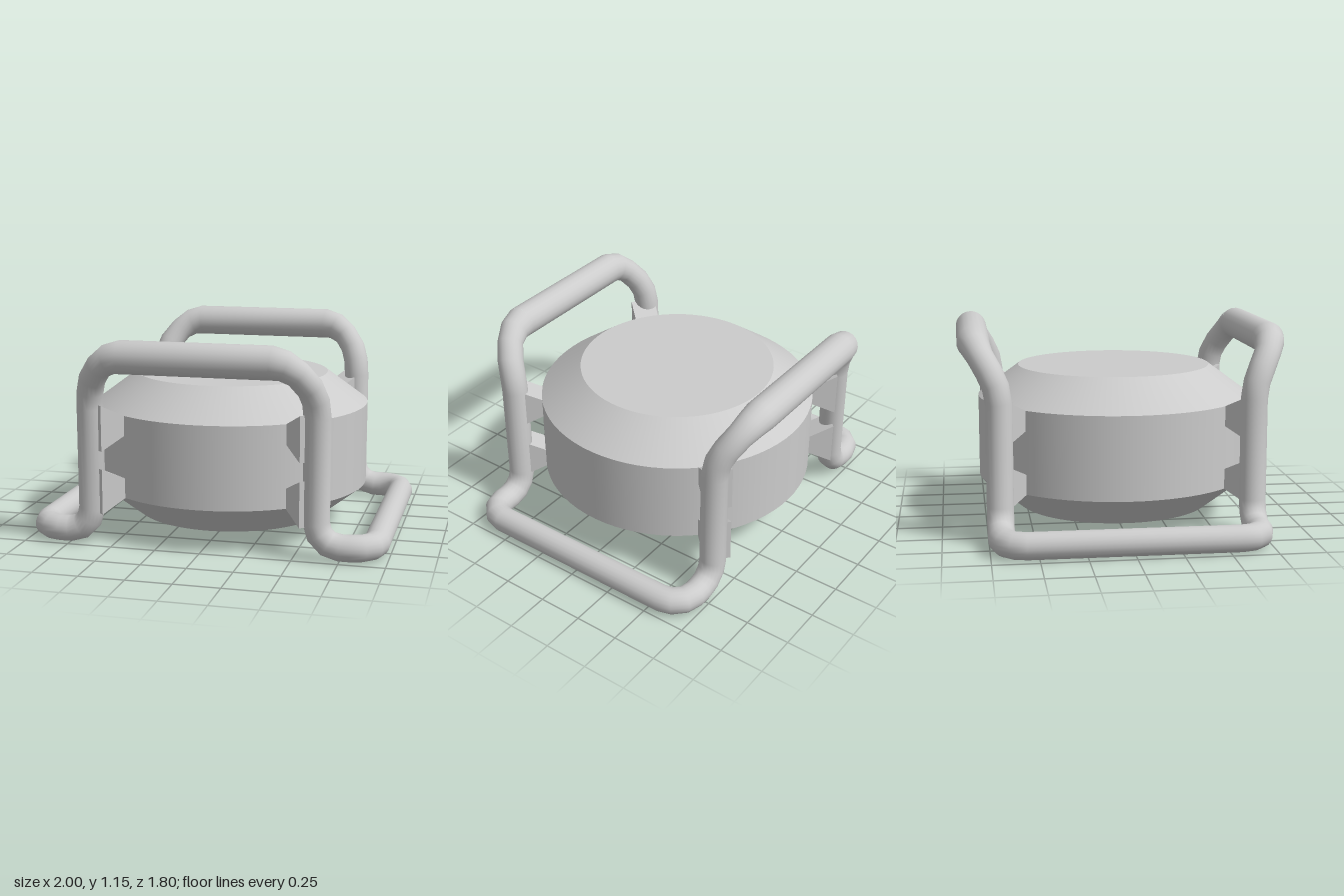
import * as THREE from 'three';

const material = new THREE.MeshStandardMaterial({ color: 0xcccccc });

function add(group, name, geometry) {
  const mesh = new THREE.Mesh(geometry, material);
  mesh.name = name;
  group.add(mesh);
  return mesh;
}

// Smooth round tube swept along points of [x, y, z, radius]; the path closes on its first point
function sweepClosed(path, sides) {
  const n = path.length;
  const at = (i) => new THREE.Vector3(...path[(i + n) % n].slice(0, 3));
  const positions = [], normals = [], index = [];
  const side = new THREE.Vector3(0, 1, 0);
  for (let i = 0; i <= n; i++) {
    const p = at(i);
    const before = p.clone().sub(at(i - 1)).normalize();
    const after = at(i + 1).sub(p).normalize();
    const tangent = before.add(after).normalize();
    side.addScaledVector(tangent, -side.dot(tangent)).normalize();
    const up = new THREE.Vector3().crossVectors(tangent, side);
    const radius = path[i % n][3];
    for (let j = 0; j <= sides; j++) {
      const a = (j / sides) * Math.PI * 2;
      const normal = side.clone().multiplyScalar(Math.cos(a)).addScaledVector(up, Math.sin(a));
      normals.push(...normal.toArray());
      positions.push(...p.clone().addScaledVector(normal, radius).toArray());
    }
  }
  const row = sides + 1;
  for (let i = 0; i < n; i++) {
    for (let j = 0; j < sides; j++) {
      const a = i * row + j, b = a + row;
      index.push(a, a + 1, b, b, a + 1, b + 1);
    }
  }
  const geometry = new THREE.BufferGeometry();
  geometry.setAttribute('position', new THREE.Float32BufferAttribute(positions, 3));
  geometry.setAttribute('normal', new THREE.Float32BufferAttribute(normals, 3));
  geometry.setIndex(index);
  return geometry;
}

export function createModel() {
  const model = new THREE.Group();
  model.name = 'drumInTubeFrame';

  // Drum: straight wall with a bevelled rim above and below
  const drum = new THREE.Group();
  drum.name = 'drum';
  model.add(drum);
  const layers = [
    ['drumBottom', 0.78, 0.55, 0.07, 0.25],
    ['drumWall', 0.78, 0.78, 0.25, 0.71],
    ['drumTop', 0.55, 0.78, 0.71, 0.88],
  ];
  for (const [name, rTop, rBottom, y0, y1] of layers) {
    const open = name === 'drumWall';
    add(drum, name, new THREE.CylinderGeometry(rTop, rBottom, y1 - y0, 72, 1, open))
      .position.y = (y0 + y1) / 2;
  }

  // Tube frame: one quarter from the grip's end to the foot rail, mirrored into a loop
  const r = 0.0725;
  const quarter = [
    [0.4, 1.06, 0.81, 0.09],
    [0.47, 1.045, 0.802, 0.082],
    [0.535, 1.0, 0.778, r],
    [0.59, 0.925, 0.735, r],
    [0.615, 0.85, 0.702, r],
    [0.623, 0.76, 0.687, r],
    [0.623, 0.2, 0.687, r],
    [0.641, 0.137, 0.687, r],
    [0.687, 0.09, 0.687, r],
    [0.75, r, 0.687, r],
    [0.8, r, 0.687, r],
    [0.864, r, 0.67, r],
    [0.911, r, 0.623, r],
    [0.9275, r, 0.56, r],
  ];
  const mirrored = (sx, sz) => quarter.map(([x, y, z, w]) => [x * sx, y, z * sz, w]);
  const loop = [
    ...mirrored(1, 1),
    ...mirrored(1, -1).reverse(),
    ...mirrored(-1, -1),
    ...mirrored(-1, 1).reverse(),
  ];
  add(model, 'tubeFrame', sweepClosed(loop, 20));

  // Brackets: two flared blocks join the drum to each upright
  const profile = new THREE.Shape([
    new THREE.Vector2(0.77, -0.053),
    new THREE.Vector2(0.92, -0.125),
    new THREE.Vector2(0.92, 0.125),
    new THREE.Vector2(0.77, 0.053),
  ]);
  const width = 0.145;
  const block = new THREE.ExtrudeGeometry(profile, { depth: width, bevelEnabled: false });
  block.translate(0, 0, -width / 2);
  const angle = THREE.MathUtils.degToRad(49.5);
  for (const a of [angle, Math.PI - angle, Math.PI + angle, -angle]) {
    for (const y of [0.305, 0.655]) {
      const bracket = add(model, 'bracket', block);
      bracket.position.y = y;
      bracket.rotation.y = -a;
    }
  }

  return model;
}
